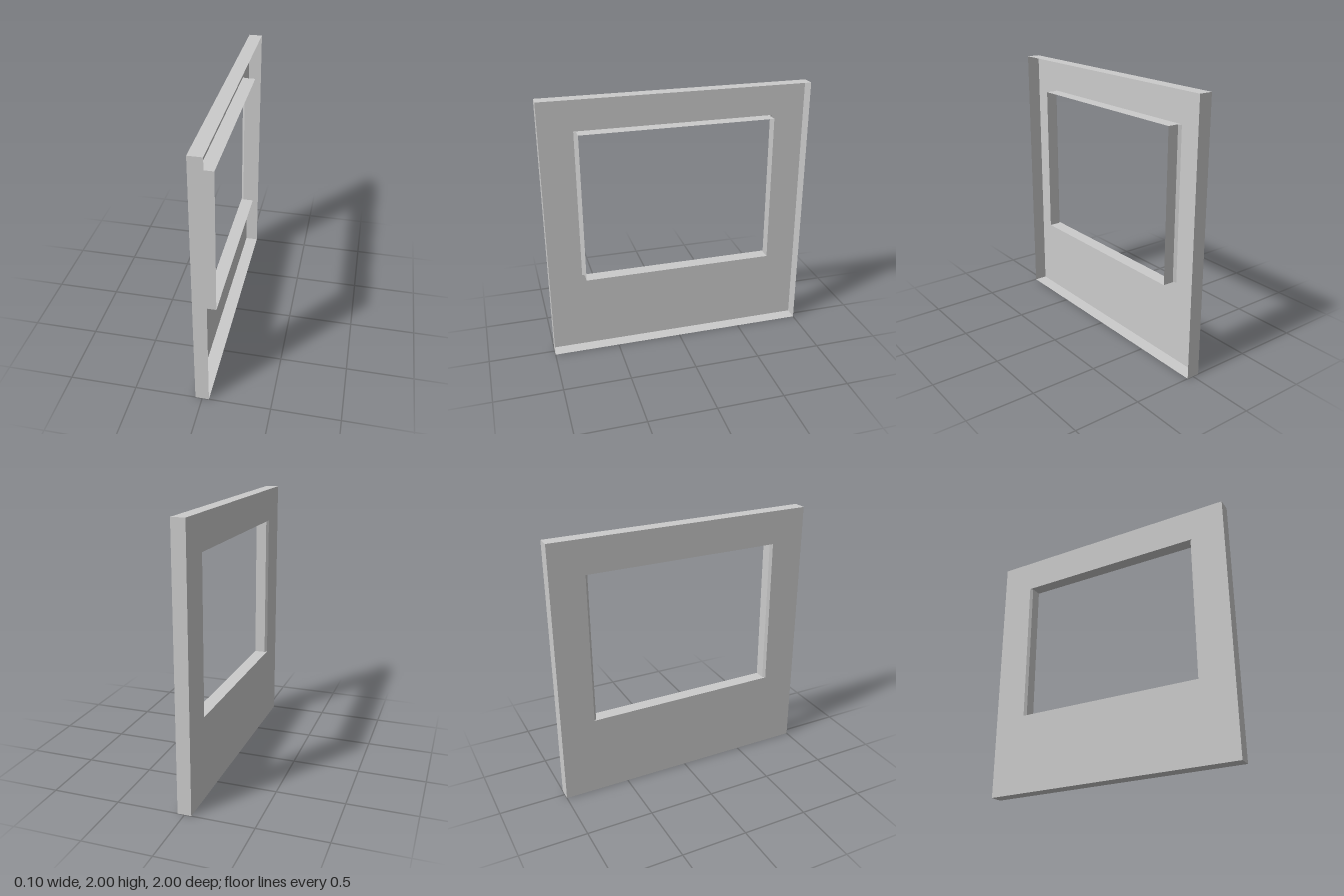
import * as THREE from 'three';

const T = 0.05; // half depth of the panel
const SILL = 0.614, HEAD = 1.748; // window opening heights

const material = new THREE.MeshStandardMaterial({
  color: 0xcccccc, flatShading: true, side: THREE.DoubleSide,
});

// Rectangular cross-section at depth x, half width w
const rect = (x, w, y0, y1) => [[x, y0, -w], [x, y0, w], [x, y1, w], [x, y1, -w]];

// Open sleeve joining successive rectangles
function sleeve(name, sections) {
  const pos = [];
  for (let s = 0; s < sections.length - 1; s++) {
    const a = sections[s], b = sections[s + 1];
    for (let i = 0; i < 4; i++) {
      const j = (i + 1) % 4;
      for (const p of [a[i], a[j], b[j], a[i], b[j], b[i]]) pos.push(...p);
    }
  }
  const geo = new THREE.BufferGeometry();
  geo.setAttribute('position', new THREE.Float32BufferAttribute(pos, 3));
  geo.computeVertexNormals();
  const mesh = new THREE.Mesh(geo, material);
  mesh.name = name;
  return mesh;
}

export function createModel() {
  const group = new THREE.Group();
  group.name = 'windowPanel';

  // Thin wall sheet with the window cut out, facing -x
  const hw = 0.743;
  const shape = new THREE.Shape([[-1, 0], [1, 0], [1, 2], [-1, 2]].map(p => new THREE.Vector2(...p)));
  shape.holes.push(new THREE.Path([[-hw, SILL], [-hw, HEAD], [hw, HEAD], [hw, SILL]].map(p => new THREE.Vector2(...p))));
  const sheet = new THREE.Mesh(new THREE.ShapeGeometry(shape).rotateY(-Math.PI / 2).translate(-T, 0, 0), material);
  sheet.name = 'wallSheet';
  group.add(sheet);

  // Rim around the outside; the +x side stays open
  group.add(sleeve('outerRim', [rect(T, 1, 0, 2), rect(-T, 1, 0, 2)]));

  // Window reveal, its side jambs flared where they meet the sheet
  group.add(sleeve('windowReveal', [
    rect(-T, hw, SILL, HEAD),
    rect(-0.033, 0.725, SILL, HEAD),
    rect(T, 0.725, SILL, HEAD),
  ]));

  return group;
}
